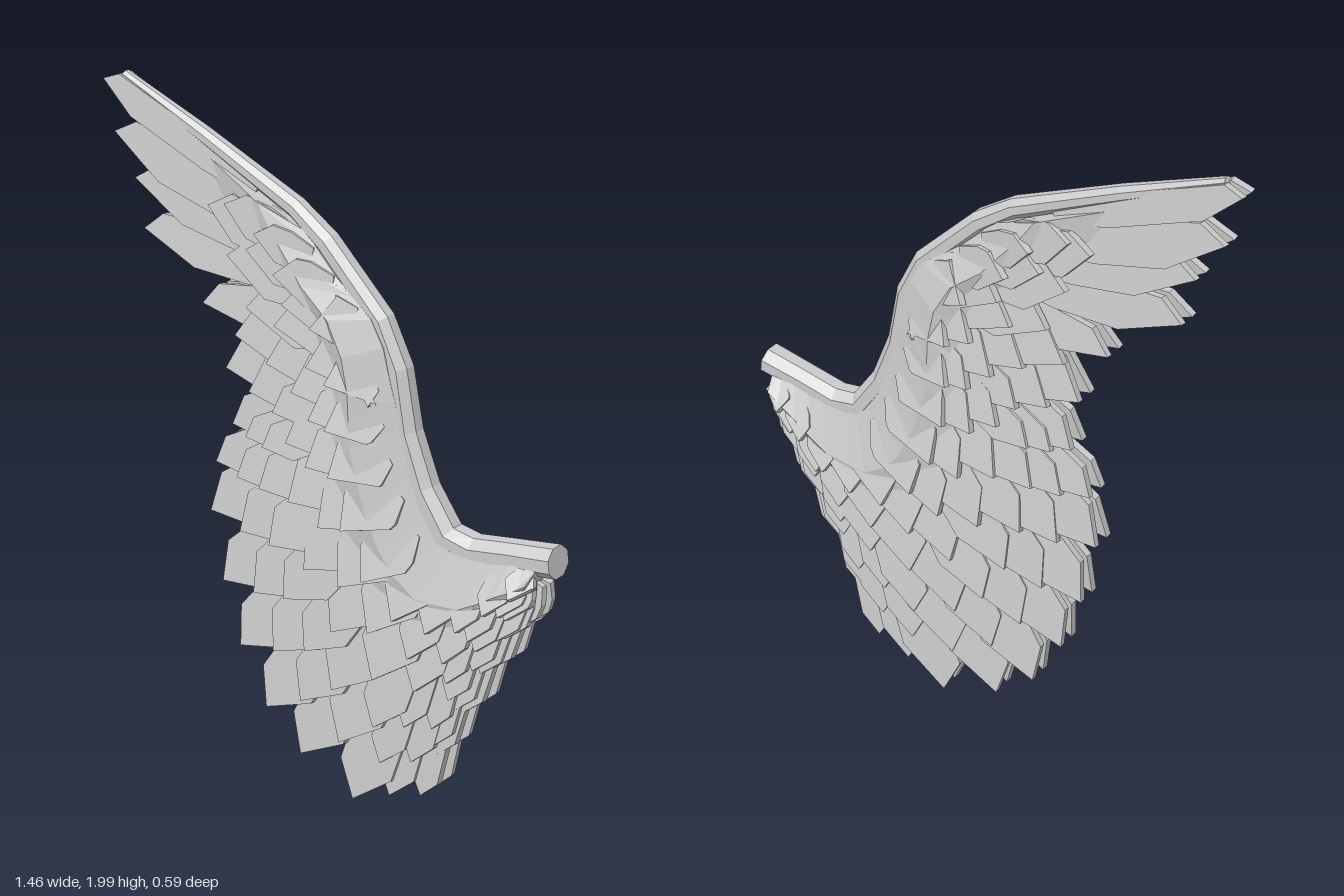
import * as THREE from 'three';

const TILT = 0.337; // the wing sweeps back from shoulder to tip
const material = new THREE.MeshStandardMaterial({ color: 0xcccccc, flatShading: true });
const P = (x, y, z = 0) => new THREE.Vector3(x / Math.cos(TILT), y, z);

// Feather stations from wing tip to shoulder: root x, y, tip x, y
const STATIONS = [
  [-0.05, 1.665, -0.725, 1.965], [0.0, 1.61, -0.69, 1.82], [0.05, 1.56, -0.62, 1.70],
  [0.1, 1.52, -0.59, 1.56], [0.16, 1.47, -0.39, 1.385], [0.2, 1.40, -0.31, 1.21],
  [0.22, 1.32, -0.29, 1.05], [0.24, 1.25, -0.35, 0.92], [0.25, 1.19, -0.37, 0.76],
  [0.27, 1.13, -0.33, 0.55], [0.29, 1.07, -0.27, 0.36], [0.32, 1.0, -0.18, 0.19],
  [0.35, 0.95, -0.06, 0.08], [0.39, 0.91, 0.12, 0.0], [0.44, 0.90, 0.24, 0.06],
  [0.50, 0.90, 0.34, 0.10], [0.55, 0.90, 0.39, 0.25], [0.60, 0.91, 0.47, 0.41],
  [0.645, 0.91, 0.55, 0.57], [0.675, 0.91, 0.62, 0.71],
];
const LAST = STATIONS.length - 1;

// Point a fraction f of the way from root to tip at a (fractional) station
function at(i, f) {
  const c = THREE.MathUtils.clamp(i, 0, LAST);
  const a = Math.min(Math.floor(c), LAST - 1);
  const s = STATIONS[a].map((v, k) => THREE.MathUtils.lerp(v, STATIONS[a + 1][k], c - a));
  return P(s[0], s[1]).lerp(P(s[2], s[3]), f);
}

// The wing is thinner towards its tip
const thin = (i) => Math.min(0.7 + i * 0.06, 1);

// Closed skin over a list of equal-sized rings
function loft(rings, name) {
  const n = rings[0].length;
  const centre = (ring) => ring.reduce((s, p) => s.add(p), new THREE.Vector3()).divideScalar(n);
  const first = centre(rings[0]), last = centre(rings[rings.length - 1]);
  const all = [rings[0].map(() => first), ...rings, rings[0].map(() => last)];
  const index = [];
  for (let i = 0; i < all.length - 1; i++) {
    for (let j = 0; j < n; j++) {
      const a = i * n + j, b = i * n + (j + 1) % n;
      index.push(a, b, a + n, b, b + n, a + n);
    }
  }
  const geometry = new THREE.BufferGeometry().setFromPoints(all.flat());
  geometry.setIndex(index);
  geometry.computeVertexNormals();
  const mesh = new THREE.Mesh(geometry, material);
  mesh.name = name;
  return mesh;
}

// Octagonal arm along the leading edge: x, y, radius
function makeArm() {
  const path = [
    [0.71, 0.925, 0.046], [0.58, 0.905, 0.044], [0.47, 0.885, 0.045], [0.385, 0.905, 0.045],
    [0.31, 1.02, 0.042], [0.255, 1.17, 0.04], [0.225, 1.34, 0.038], [0.17, 1.46, 0.036],
    [0, 1.64, 0.034], [-0.1, 1.715, 0.03], [-0.4, 1.86, 0.024], [-0.67, 1.982, 0.016],
  ];
  const pts = path.map(([x, y]) => P(x, y));
  const rings = pts.map((p, i) => {
    const t = pts[Math.min(i + 1, pts.length - 1)].clone().sub(pts[Math.max(i - 1, 0)]).normalize();
    return Array.from({ length: 8 }, (_, j) => {
      const a = (j + 0.5) * Math.PI / 4, r = path[i][2];
      return new THREE.Vector3(-t.y * Math.cos(a), t.x * Math.cos(a), 1.1 * Math.sin(a))
        .multiplyScalar(r).add(p);
    });
  });
  return loft(rings, 'arm');
}

// Smooth wedge behind the arm that holds the feather roots
function makeBody() {
  const section = [[0, 0.04], [0.2, 0.082], [0.65, 0], [0.2, -0.082], [0, -0.04]];
  const rings = STATIONS.map((_, i) => section.map(([f, z]) => at(i, f).setZ(z * thin(i))));
  return loft(rings, 'body');
}

// One flat feather from root to tip with a lopsided point, rolled over its neighbour
function makeFeather(root, tip, width, notch, side) {
  const y = tip.clone().sub(root), length = y.length();
  const h = width / 2, depth = 0.02;
  const shape = new THREE.Shape([
    [-h * 0.6, 0], [h * 0.6, 0], [h, length * 0.4], [h, length - width * 0.5],
    [h * 0.1, length], [-h, length - notch], [-h, length * 0.3],
  ].map(([a, b]) => new THREE.Vector2(a, b)));
  const geometry = new THREE.ExtrudeGeometry(shape, { depth, bevelEnabled: false });
  geometry.translate(0, 0, -depth / 2);
  y.normalize();
  const x = new THREE.Vector3(y.y, -y.x, -0.11 * side);
  const z = x.clone().cross(y).normalize();
  x.crossVectors(y, z);
  geometry.applyMatrix4(new THREE.Matrix4().makeBasis(x, y, z).setPosition(root));
  const mesh = new THREE.Mesh(geometry, material);
  mesh.name = 'feather';
  return mesh;
}

// A row of feathers; shorter rows sit further out from the middle plane
function makeRow(level, fraction, side, name) {
  const row = new THREE.Group();
  row.name = name;
  const step = fraction < 0.6 ? 1.4 : 1;
  const start = level === 0 ? 0 : 1 + (level % 2) / 2;
  for (let i = start; i <= (level ? LAST - 0.4 : LAST); i += step) {
    // only the shorter rows reach the long flight feathers
    if (i < 4 && level > 0 && fraction > 0.55) continue;
    const root = at(i, 0.25 * fraction), tip = at(i, fraction);
    const d = tip.clone().sub(root).normalize();
    const gap = at(i + step / 2, fraction).sub(at(i - step / 2, fraction));
    const spread = Math.abs(gap.x * d.y - gap.y * d.x);
    const flight = level === 0 && i < 5;
    const width = THREE.MathUtils.clamp(spread * 1.2, 0.085, flight ? 0.125 : 0.19);
    root.z = side * (0.015 + 0.005 * level) * thin(i);
    tip.z = side * (0.03 + 0.012 * level) * thin(i);
    row.add(makeFeather(root, tip, width, width * (flight ? 1.5 : 0.8), side));
  }
  return row;
}

export function createModel() {
  const model = new THREE.Group();
  model.name = 'wing';
  const wing = new THREE.Group();
  wing.name = 'sweptWing';
  wing.rotation.y = -TILT;
  wing.position.z = -0.01;
  wing.add(makeArm(), makeBody());
  // Flight feathers and overlapping coverts on both faces
  [1, 0.85, 0.7, 0.55, 0.42, 0.31].forEach((fraction, level) => {
    const kind = level ? 'Coverts' : 'FlightFeathers';
    wing.add(makeRow(level, fraction, 1, 'front' + kind));
    wing.add(makeRow(level, fraction, -1, 'back' + kind));
  });
  model.add(wing);
  return model;
}
